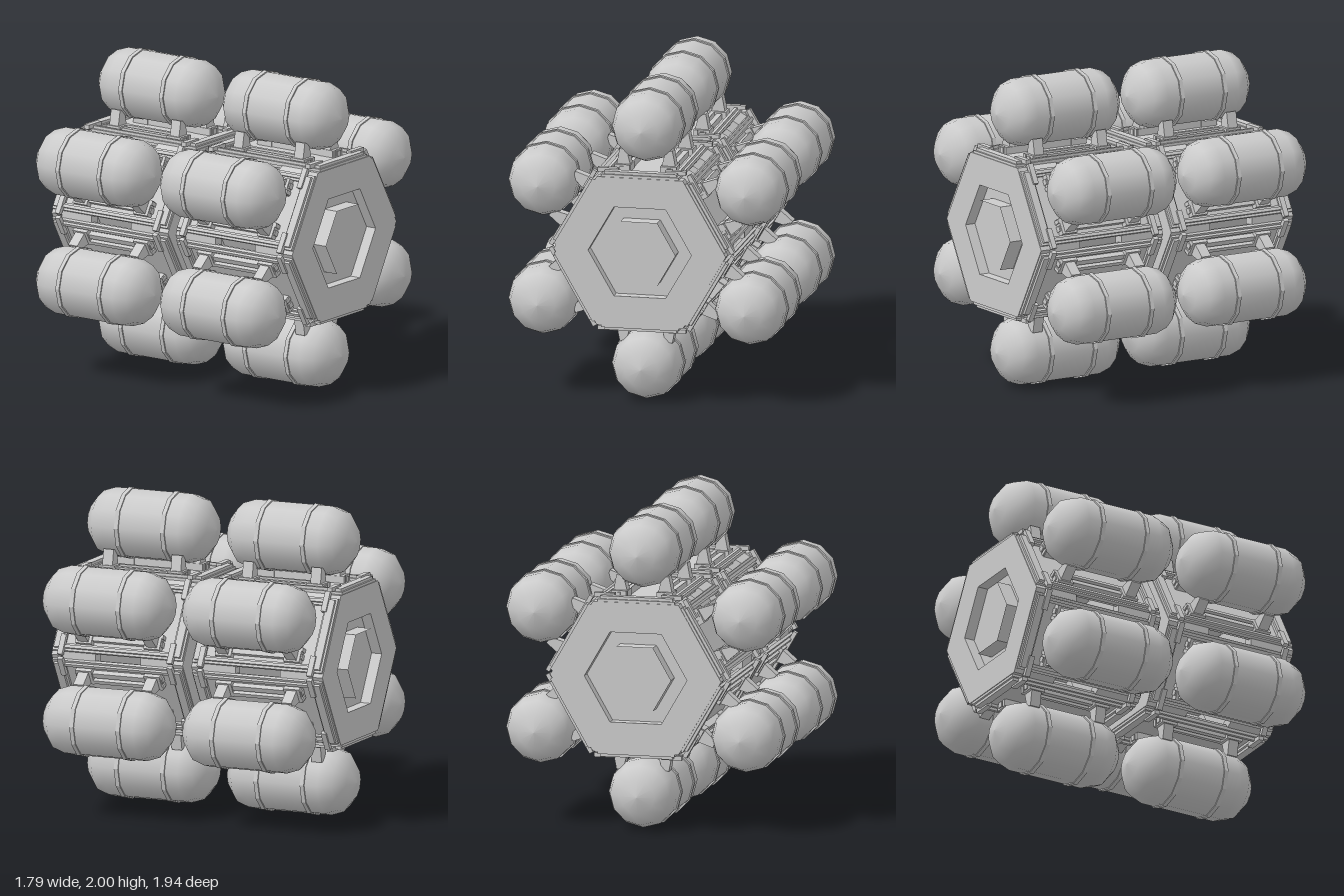
import * as THREE from 'three';

const mat = new THREE.MeshStandardMaterial({ color: 0xcccccc });
const flat = new THREE.MeshStandardMaterial({ color: 0xcccccc, flatShading: true });

function add(parent, name, geo, material = flat) {
  const mesh = new THREE.Mesh(geo, material);
  mesh.name = name;
  parent.add(mesh);
  return mesh;
}

// box given by its ranges along x, y and z
function box(parent, name, [x0, x1], [y0, y1], [z0, z1]) {
  const mesh = add(parent, name, new THREE.BoxGeometry(x1 - x0, y1 - y0, z1 - z0));
  mesh.position.set((x0 + x1) / 2, (y0 + y1) / 2, (z0 + z1) / 2);
  return mesh;
}

function polygon(points, Kind = THREE.Shape) {
  return new Kind(points.map(([x, y]) => new THREE.Vector2(x, y)));
}

function hexPoints(r) {
  return Array.from({ length: 6 }, (_, i) => [r * Math.cos(i * Math.PI / 3), r * Math.sin(i * Math.PI / 3)]);
}

function extrude(shape, z0, z1) {
  return new THREE.ExtrudeGeometry(shape, { depth: z1 - z0, bevelEnabled: false }).translate(0, 0, z0);
}

// rectangular frame lying at height y0..y1, half sizes w by l, with an opening
function frameGeometry(w, l, openW, openL, y0, y1) {
  const rect = (a, b) => [[-a, -b], [a, -b], [a, b], [-a, b]];
  const shape = polygon(rect(w, l));
  shape.holes.push(polygon(rect(openW, openL), THREE.Path));
  return extrude(shape, y0, y1).rotateX(-Math.PI / 2);
}

function createTank() {
  const tank = new THREE.Group();
  tank.name = 'tank';
  const profile = [];
  for (const s of [-1, 1]) {
    for (let i = 0; i <= 3; i++) {
      const a = (s < 0 ? 3 - i : i) * Math.PI / 6;
      profile.push(new THREE.Vector2(Math.max(0, 0.222 * Math.cos(a)), s * (0.262 + 0.175 * Math.sin(a))));
    }
  }
  add(tank, 'tankBody', new THREE.LatheGeometry(profile, 12).rotateX(Math.PI / 2), mat);
  for (const z of [-0.16, 0.16]) {
    add(tank, 'tankBand', new THREE.CylinderGeometry(0.23, 0.23, 0.028, 12).rotateX(Math.PI / 2)).position.z = z;
  }
  tank.position.y = 0.77;
  return tank;
}

// one hexagon side: local y points outwards, x runs along the side
function createSide() {
  const side = new THREE.Group();
  side.name = 'side';
  box(side, 'panelBase', [-0.235, 0.235], [0.455, 0.48], [-0.435, 0.435]);
  add(side, 'panelFrameLower', frameGeometry(0.25, 0.45, 0.2, 0.37, 0.475, 0.497));
  add(side, 'panelFrameUpper', frameGeometry(0.235, 0.437, 0.215, 0.385, 0.497, 0.515));
  for (const s of [-1, 1]) {
    const at = (a, b) => (s > 0 ? [a, b] : [-b, -a]);
    // long rails between the brackets
    box(side, 'rail', at(0.1, 0.125), [0.47, 0.525], [-0.3, 0.3]);
    box(side, 'rail', at(0.14, 0.175), [0.47, 0.515], [-0.3, 0.3]);
    for (const z of [-0.237, 0.237]) {
      // bracket foot and tapered leg holding the tank
      box(side, 'bracketFoot', at(0.095, 0.2), [0.475, 0.525], [z - 0.055, z + 0.055]);
      let leg = [[0.1, 0.52], [0.19, 0.52], [0.17, 0.625], [0.125, 0.615]];
      if (s < 0) leg = leg.map(([x, y]) => [-x, y]).reverse();
      add(side, 'bracketLeg', extrude(polygon(leg), z - 0.035, z + 0.035));
    }
    // latch ends reaching over the corner
    for (const z of [-0.38, 0.38]) {
      box(side, 'latch', at(0.15, 0.285), [0.5, 0.527], [z - 0.018, z + 0.018]);
    }
  }
  side.add(createTank());
  return side;
}

function createSection() {
  const section = new THREE.Group();
  section.name = 'section';
  for (let i = 0; i < 6; i++) {
    const side = createSide();
    side.rotation.z = i * Math.PI / 3;
    section.add(side);
    // corner connectors between neighbouring panels
    const corner = new THREE.Group();
    corner.name = 'corner';
    for (const z of [-0.295, 0.295]) {
      box(corner, 'cornerBlock', [-0.045, 0.045], [0.47, 0.54], [z - 0.14, z + 0.14]);
    }
    corner.rotation.z = (i + 0.5) * Math.PI / 3;
    section.add(corner);
  }
  // hexagonal end plates with a recess
  const plate = polygon(hexPoints(0.555));
  plate.holes.push(polygon(hexPoints(0.333), THREE.Path));
  for (const s of [-1, 1]) {
    const z = (a, b) => (s > 0 ? [a, b] : [-b, -a]);
    add(section, 'endPlate', extrude(plate, ...z(0.385, 0.455)));
    add(section, 'recessFloor', extrude(polygon(hexPoints(0.45)), ...z(0.365, 0.385)));
  }
  return section;
}

export function createModel() {
  const model = new THREE.Group();
  model.name = 'tankRack';
  for (const z of [-0.485, 0.485]) {
    const section = createSection();
    section.position.set(0, 1, z);
    model.add(section);
  }
  // open hexagonal tunnel through both sections
  const tunnel = new THREE.CylinderGeometry(0.235, 0.235, 1.94, 6, 1, true).rotateY(Math.PI / 2).rotateX(Math.PI / 2);
  add(model, 'tunnel', tunnel).position.y = 1;
  return model;
}
